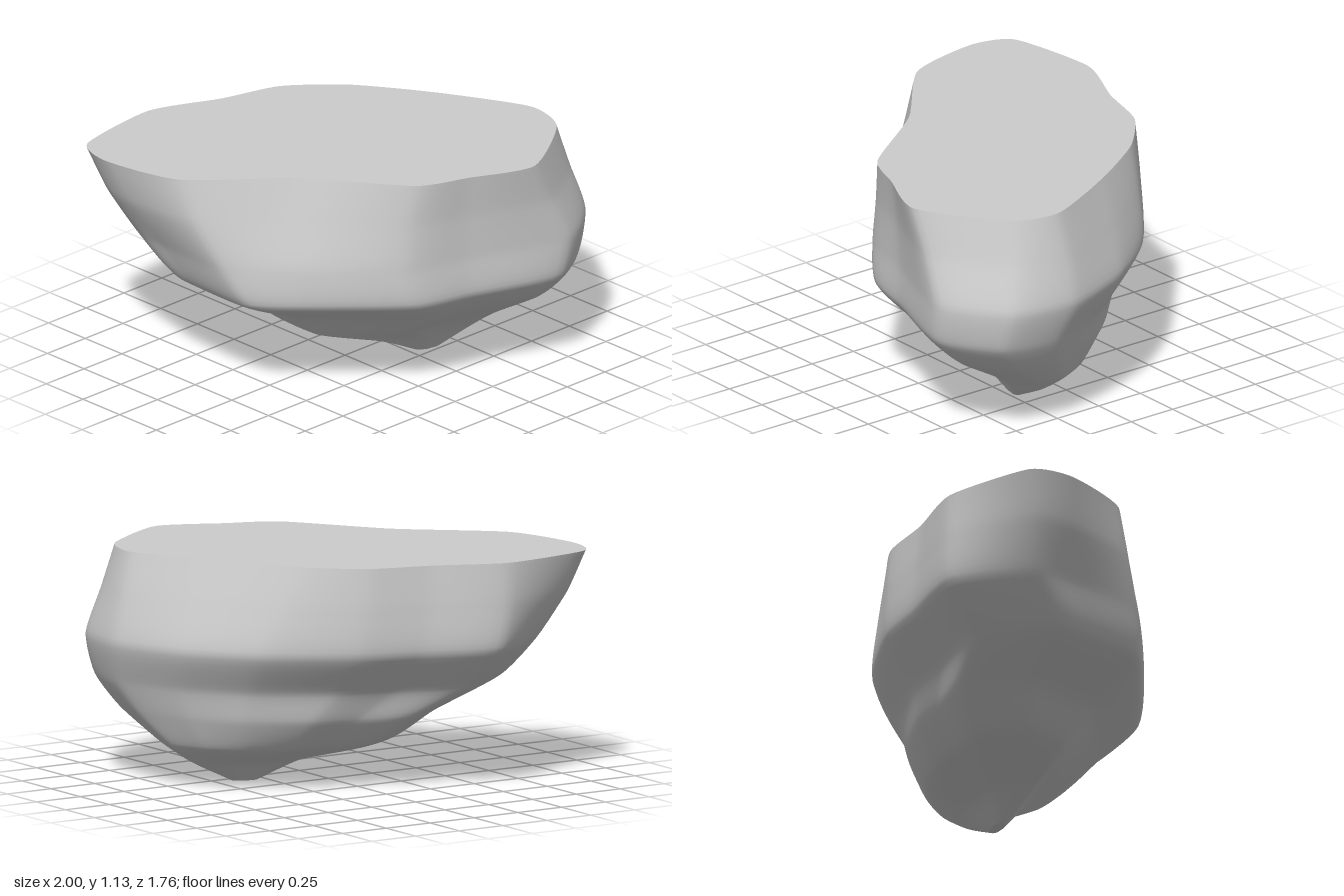
import * as THREE from 'three';

// Outlines as x,z pairs: left tip, around the back, right tip, around the front
const RIM = [-1, -.6, -.92, -.81, -.45, -.88, -.1, -.74, .2, -.65, .45, -.43, .68, -.08,
  .89, .35, .82, .6, .42, .86, .1, .74, -.15, .63, -.48, .18, -.9, -.2];
const BELLY = [-.82, -.4, -.78, -.62, -.42, -.85, -.05, -.73, .25, -.63, .62, -.37, .86, -.05,
  1, .33, .94, .66, .62, .87, .13, .71, -.2, .61, -.58, .25, -.81, -.02];

// Height and reach of the rock at that height: left, right, back, front
const LEVELS = [
  [1.13, -1, .89, -.88, .86],
  [.92, -.93, .95, -.88, .86],
  [.7, -.82, 1, -.85, .88],
  [.5, -.73, .94, -.64, .86],
  [.35, -.42, .86, -.5, .71],
  [.2, -.24, .75, -.3, .46],
  [.1, .08, .61, .02, .33],
  [0, .29, .41, .16, .23],
];
const COLS = 112, ROWS = 50, TENSION = 0.32;

// Outline at one level: blends from rim to belly, then fits the reach
function outlineAt([y, left, right, back, front]) {
  const blend = Math.min(1, (LEVELS[0][0] - y) / (LEVELS[0][0] - LEVELS[2][0]));
  const points = [];
  for (let i = 0; i < RIM.length; i += 2) {
    points.push(new THREE.Vector3(
      THREE.MathUtils.lerp(RIM[i], BELLY[i], blend), y,
      THREE.MathUtils.lerp(RIM[i + 1], BELLY[i + 1], blend)));
  }
  const { min, max } = new THREE.Box3().setFromPoints(points);
  for (const p of points) {
    p.x = THREE.MathUtils.mapLinear(p.x, min.x, max.x, left, right);
    p.z = THREE.MathUtils.mapLinear(p.z, min.z, max.z, back, front);
  }
  return new THREE.CatmullRomCurve3(points, true, 'catmullrom', TENSION);
}

// Fan that closes a ring of points with a flat face
function capGeometry(ring, up) {
  const centre = ring.reduce((sum, p) => sum.add(p), new THREE.Vector3()).divideScalar(ring.length);
  const geometry = new THREE.BufferGeometry().setFromPoints([centre, ...ring]);
  const index = [];
  for (let j = 0; j < ring.length; j++) {
    const a = 1 + j, b = 1 + (j + 1) % ring.length;
    index.push(0, up ? b : a, up ? a : b);
  }
  geometry.setIndex(index);
  geometry.computeVertexNormals();
  return geometry;
}

export function createModel() {
  const group = new THREE.Group();
  group.name = 'rock';
  const material = new THREE.MeshStandardMaterial({ color: 0xcccccc });
  const outlines = LEVELS.map(outlineAt);

  // Vertical curves through the outlines give the rows of the skin
  const rows = Array.from({ length: ROWS }, () => []);
  for (let j = 0; j < COLS; j++) {
    const column = new THREE.CatmullRomCurve3(
      outlines.map((o) => o.getPoint(j / COLS)), false, 'catmullrom', TENSION);
    rows.forEach((row, i) => row.push(column.getPoint(i / (ROWS - 1))));
  }

  // Rounded, uneven flank
  const flank = new THREE.BufferGeometry().setFromPoints(rows.flat());
  const index = [];
  for (let i = 0; i < ROWS - 1; i++) {
    for (let j = 0; j < COLS; j++) {
      const a = i * COLS + j, b = i * COLS + (j + 1) % COLS;
      const c = b + COLS, d = a + COLS;
      index.push(a, b, c, a, c, d);
    }
  }
  flank.setIndex(index);
  flank.computeVertexNormals();

  const add = (name, geometry) => {
    const mesh = new THREE.Mesh(geometry, material);
    mesh.name = name;
    group.add(mesh);
  };
  add('rockFlank', flank);
  add('flatTop', capGeometry(rows[0], true));
  add('bottomTip', capGeometry(rows[ROWS - 1], false));
  return group;
}
